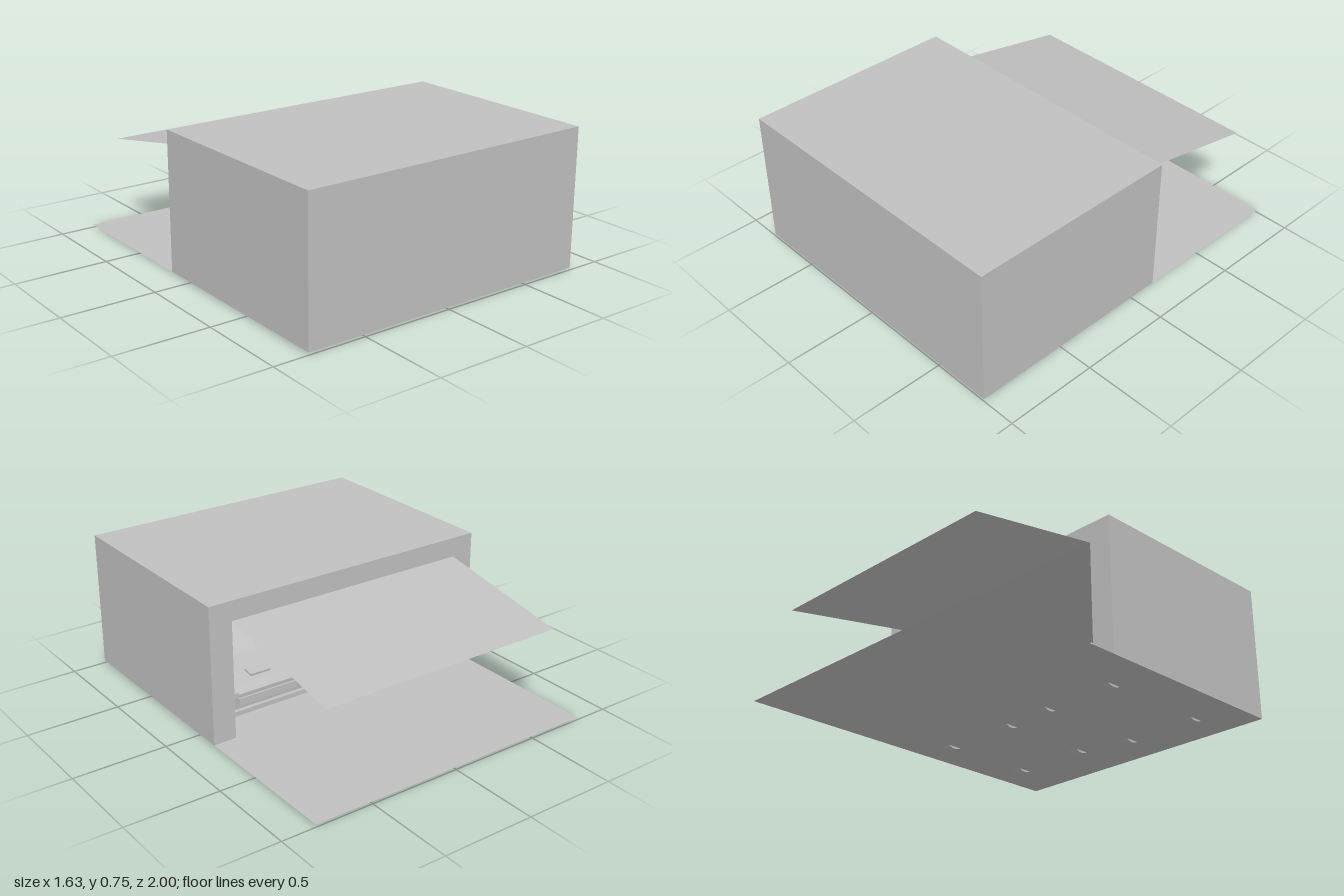
import * as THREE from 'three';

const W = 0.815, FLOOR = 0.013, TOP = 0.75, BACK = -0.15, FRONT = 1;
const OPEN_W = 0.69, OPEN_TOP = 0.645, INNER_FRONT = 0.93;

const grey = new THREE.MeshStandardMaterial({ color: 0xc0c0c0 });
grey.name = 'grey';
const greySheet = new THREE.MeshStandardMaterial({ color: 0xc0c0c0, side: THREE.DoubleSide });
greySheet.name = 'grey sheet';

function add(parent, name, geometry, x = 0, y = 0, z = 0, material = grey) {
  const mesh = new THREE.Mesh(geometry, material);
  mesh.name = name;
  mesh.position.set(x, y, z);
  parent.add(mesh);
  return mesh;
}

// Extrude a side profile of [z, y] points across the width, with softened edges
function sideExtrude(points, width, bevel) {
  const shape = new THREE.Shape(points.map(([z, y]) => new THREE.Vector2(-z, y)));
  const depth = width - 2 * bevel;
  const geometry = new THREE.ExtrudeGeometry(shape, {
    depth, bevelEnabled: true, bevelSize: bevel, bevelThickness: bevel, bevelOffset: -bevel, bevelSegments: 2,
  });
  geometry.translate(0, 0, -depth / 2);
  geometry.rotateY(Math.PI / 2);
  return geometry;
}

// A car whose nose points out of the door; z runs from the nose to the tail
function makeCar({ name, x, noseZ, length, width, height, axles, track, tyre }) {
  const car = new THREE.Group();
  car.name = name;
  car.position.set(x, 0, noseZ);
  const L = length;

  // Lower body with bonnet and boot
  add(car, 'carBody', sideExtrude([
    [0.01, 0.045], [0, 0.15], [0.03, 0.19], [0.34 * L, 0.235],
    [0.85 * L, 0.235], [0.98 * L, 0.215], [L, 0.15], [0.99 * L, 0.045],
  ], width, 0.015));

  // Cabin narrowing toward the roof
  const cabin = sideExtrude([
    [0.3 * L, 0.215], [0.47 * L, height], [0.76 * L, height], [0.9 * L, 0.215],
  ], width * 0.94, 0.012);
  const p = cabin.attributes.position;
  for (let i = 0; i < p.count; i++) {
    const t = (p.getY(i) - 0.215) / (height - 0.215);
    p.setX(i, p.getX(i) * (1 - 0.2 * t));
  }
  cabin.computeVertexNormals();
  add(car, 'cabin', cabin);

  // Bumpers, grille and number plate area
  for (const z of [0, L]) {
    const out = z ? 1 : -1;
    add(car, 'bumper', new THREE.BoxGeometry(width * 0.98, 0.025, 0.03), 0, 0.055, z);
    add(car, 'grille', new THREE.BoxGeometry(width * 0.7, 0.04, 0.012), 0, 0.11, z + out * 0.002);
    for (const s of [-1, 1]) {
      add(car, 'lamp', new THREE.BoxGeometry(0.05, 0.03, 0.02), s * width * 0.4, 0.15, z - out * 0.004);
    }
  }

  // Bonnet scoop
  const scoop = add(car, 'bonnetScoop', new THREE.BoxGeometry(width * 0.24, 0.012, 0.06), 0, 0.205, 0.09);
  scoop.rotation.x = -0.14;

  // Wheels and door mirrors
  const wheel = new THREE.CylinderGeometry(0.07, 0.07, tyre, 24);
  wheel.rotateZ(Math.PI / 2);
  for (const s of [-1, 1]) {
    for (const z of axles) add(car, 'wheel', wheel, s * track / 2, 0.07, z - noseZ);
    add(car, 'doorMirror', new THREE.BoxGeometry(0.04, 0.025, 0.02), s * width * 0.5, 0.25, 0.38 * L);
  }
  return car;
}

export function createModel() {
  const model = new THREE.Group();
  model.name = 'garageWithCars';

  // Walls and roof as one arch open at the back
  const arch = new THREE.Shape([
    [-W, FLOOR], [-OPEN_W, FLOOR], [-OPEN_W, OPEN_TOP], [OPEN_W, OPEN_TOP],
    [OPEN_W, FLOOR], [W, FLOOR], [W, TOP], [-W, TOP],
  ].map(([x, y]) => new THREE.Vector2(x, y)));
  add(model, 'wallsAndRoof',
    new THREE.ExtrudeGeometry(arch, { depth: FRONT - BACK, bevelEnabled: false }), 0, 0, BACK);
  add(model, 'frontWall', new THREE.BoxGeometry(2 * OPEN_W, OPEN_TOP - FLOOR, FRONT - INNER_FRONT),
    0, (OPEN_TOP + FLOOR) / 2, (FRONT + INNER_FRONT) / 2);

  // Floor and driveway sheets
  for (const [name, z0, z1] of [['garageFloor', BACK, FRONT], ['driveway', -1, BACK]]) {
    const sheet = new THREE.PlaneGeometry(2 * W, z1 - z0);
    sheet.rotateX(-Math.PI / 2);
    add(model, name, sheet, 0, FLOOR, (z0 + z1) / 2, greySheet);
  }

  // Raised door hinged at the top of the opening
  const run = 0.755, drop = 0.139;
  const doorSheet = new THREE.PlaneGeometry(2 * OPEN_W, Math.hypot(run, drop));
  doorSheet.rotateX(-Math.PI / 2);
  const door = add(model, 'raisedDoor', doorSheet, 0, OPEN_TOP - drop / 2, BACK - run / 2, greySheet);
  door.rotation.x = -Math.atan2(drop, run);

  // Two parked cars
  model.add(makeCar({
    name: 'longCar', x: -0.345, noseZ: -0.06, length: 0.97, width: 0.48, height: 0.36,
    axles: [0.12, 0.755], track: 0.43, tyre: 0.035,
  }));
  model.add(makeCar({
    name: 'shortCar', x: 0.4, noseZ: 0, length: 0.83, width: 0.5, height: 0.38,
    axles: [0.145, 0.683], track: 0.44, tyre: 0.055,
  }));
  return model;
}
